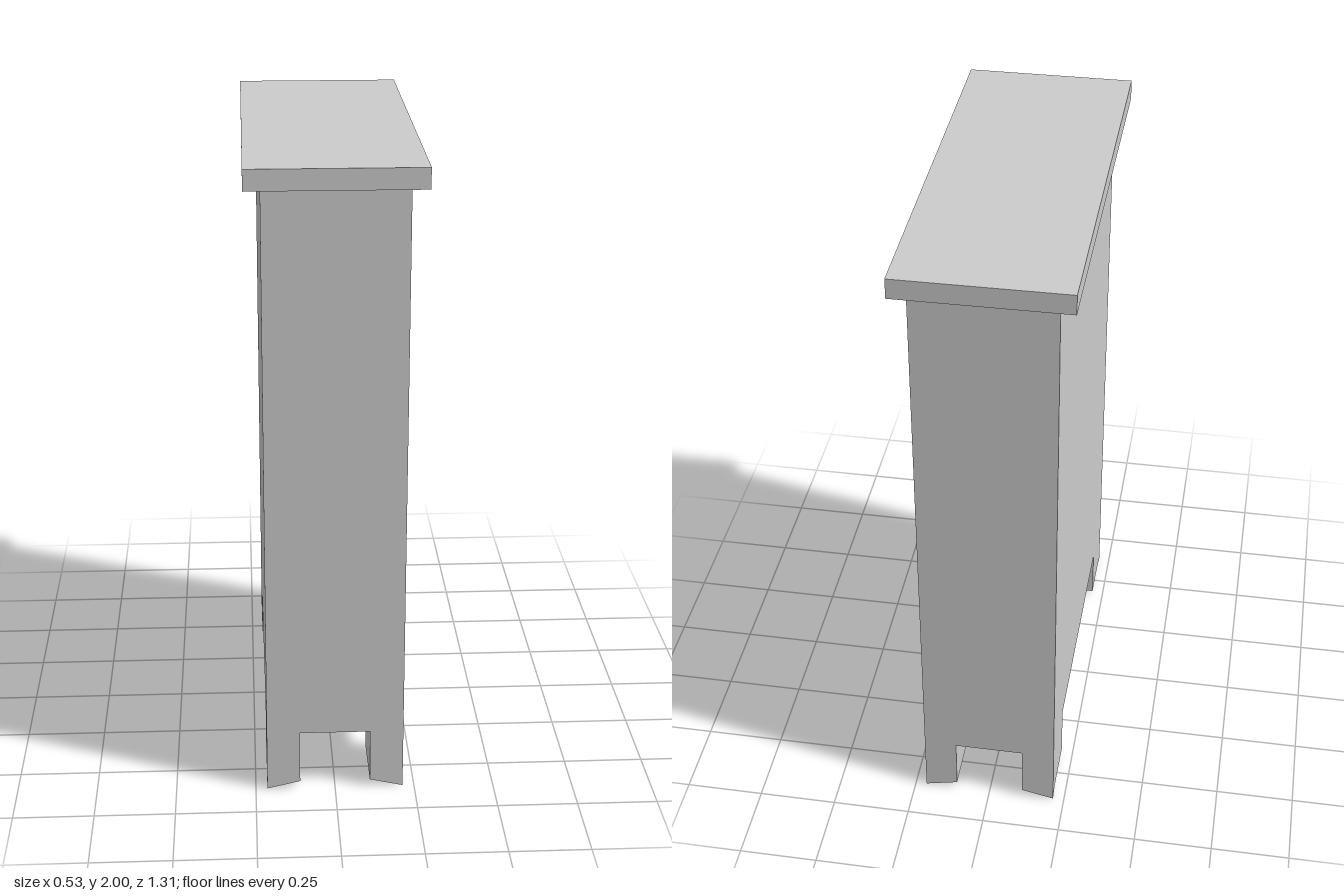
import * as THREE from 'three';

const HX = 0.214, HZ = 0.618;   // half width and half length of the cabinet
const BASE = 0.197, TOP = 1.937; // underside and top of the cabinet
const RECESS = 0.165;            // x of the drawer faces

// bottom, top and handle height of each drawer
const DRAWERS = [
  [0.235, 0.655, 0.455],
  [0.695, 1.105, 0.925],
  [1.14, 1.515, 1.315],
  [1.56, TOP - 0.001, 1.765],
];

const material = new THREE.MeshStandardMaterial({ color: 0xcccccc });

function add(group, name, geometry, x = 0, y = 0, z = 0) {
  const mesh = new THREE.Mesh(geometry, material);
  mesh.name = name;
  mesh.position.set(x, y, z);
  group.add(mesh);
  return mesh;
}

function rectangle(path, x0, y0, x1, y1) {
  path.moveTo(x0, y0);
  path.lineTo(x1, y0);
  path.lineTo(x1, y1);
  path.lineTo(x0, y1);
  path.closePath();
  return path;
}

// Leg block whose outer bottom corner dips down to the floor
function legGeometry(sx, sz) {
  const x0 = 0.11, z0 = 0.41, zBend = 0.58, yFlat = 0.024;
  let g = new THREE.BoxGeometry(2, 2, 2, 1, 1, 2);
  const p = g.attributes.position;
  for (let i = 0; i < p.count; i++) {
    const outX = p.getX(i) * sx > 0;
    const side = p.getZ(i) * sz;
    const outZ = side > 0.5;
    const z = outZ ? HZ : side < -0.5 ? z0 : zBend;
    const y = p.getY(i) > 0 ? BASE : outX && outZ ? 0 : yFlat;
    p.setXYZ(i, sx * (outX ? HX : x0), y, sz * z);
  }
  g = g.toNonIndexed();
  g.computeVertexNormals();
  return g;
}

// Bowed pull handle: a tube along half an oval, ends sunk in the drawer
function handleGeometry() {
  const points = [];
  for (let i = 0; i <= 12; i++) {
    const a = (i / 12) * Math.PI;
    points.push(new THREE.Vector3(
      RECESS - 0.005 + 0.073 * Math.pow(Math.sin(a), 0.8), 0, 0.11 * Math.cos(a)));
  }
  return new THREE.TubeGeometry(new THREE.CatmullRomCurve3(points), 24, 0.021, 10);
}

export function createModel() {
  const model = new THREE.Group();
  model.name = 'chestOfDrawers';

  // Table top
  add(model, 'topBoard', new THREE.BoxGeometry(0.526, 2 - TOP, 1.31), 0, (2 + TOP) / 2, 0);

  // Solid carcass behind the drawer faces
  add(model, 'carcass', new THREE.BoxGeometry(RECESS + HX, TOP - BASE, HZ * 2),
    (RECESS - HX) / 2, (TOP + BASE) / 2, 0);

  // Face frame with one opening per drawer
  const frame = rectangle(new THREE.Shape(), -HZ, BASE, HZ, TOP);
  for (const [low, high] of DRAWERS) {
    frame.holes.push(rectangle(new THREE.Path(), -0.578, low, 0.578, high));
  }
  const frameGeometry = new THREE.ExtrudeGeometry(frame, { depth: HX - RECESS, bevelEnabled: false });
  frameGeometry.rotateY(Math.PI / 2);
  add(model, 'faceFrame', frameGeometry, RECESS, 0, 0);

  // Handles
  const handle = handleGeometry();
  for (const drawer of DRAWERS) add(model, 'handle', handle, 0, drawer[2], 0.022);

  // Legs
  for (const sx of [-1, 1]) {
    for (const sz of [-1, 1]) add(model, 'leg', legGeometry(sx, sz));
  }

  return model;
}
